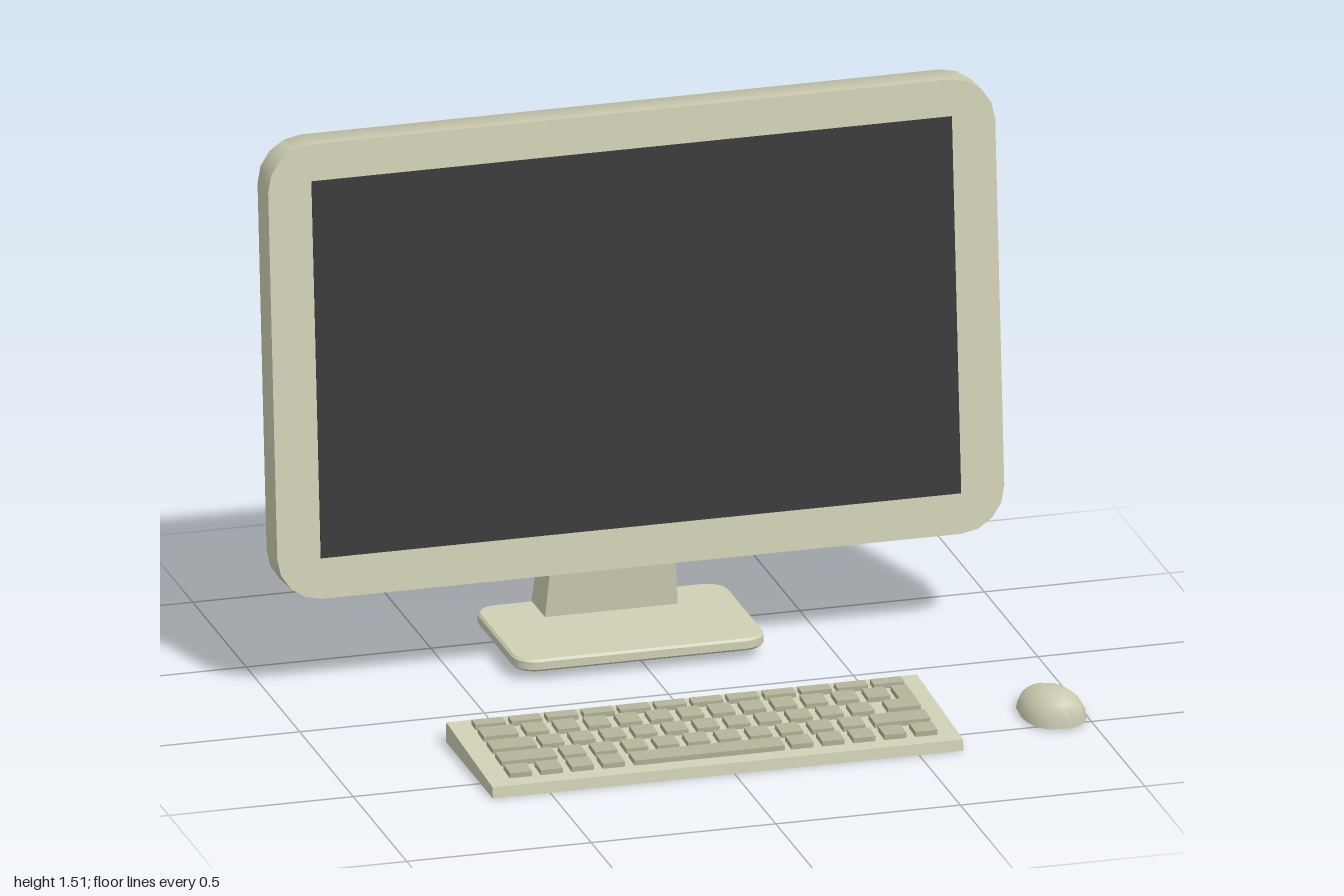
import * as THREE from 'three';
import { toCreasedNormals } from 'three/addons/utils/BufferGeometryUtils.js';

const shell = new THREE.MeshStandardMaterial({ color: 0xd0d0b5 });
const keyMat = new THREE.MeshStandardMaterial({ color: 0xb3b399 });
const dark = new THREE.MeshStandardMaterial({ color: 0x383838 });

// Solid through closed rings (counter-clockwise about the direction of travel), capped at both ends
function loft(rings, crease) {
  const pos = [];
  const tri = (...pts) => pts.forEach((p) => pos.push(...p));
  for (let k = 0; k < rings.length - 1; k++) {
    const a = rings[k], b = rings[k + 1];
    a.forEach((p, i) => {
      const j = (i + 1) % a.length;
      tri(p, a[j], b[j]);
      tri(p, b[j], b[i]);
    });
  }
  const first = rings[0], last = rings[rings.length - 1];
  for (let i = 1; i < first.length - 1; i++) {
    tri(first[0], first[i + 1], first[i]);
    tri(last[0], last[i], last[i + 1]);
  }
  const g = new THREE.BufferGeometry();
  g.setAttribute('position', new THREE.Float32BufferAttribute(pos, 3));
  return toCreasedNormals(g, crease);
}

// Outline of a centred rectangle with rounded corners
function roundedRect(w, h, r, steps) {
  const pts = [];
  for (let c = 0; c < 4; c++) {
    const sx = c === 0 || c === 3 ? 1 : -1, sy = c < 2 ? 1 : -1;
    for (let i = 0; i <= steps; i++) {
      const t = (c + i / steps) * Math.PI / 2;
      pts.push([sx * (w / 2 - r) + r * Math.cos(t), sy * (h / 2 - r) + r * Math.sin(t)]);
    }
  }
  return pts;
}

// Horizontal rectangle with its own height at front and back
const rect = (x0, x1, zBack, zFront, yBack, yFront = yBack) => [
  [x0, yFront, zFront], [x1, yFront, zFront], [x1, yBack, zBack], [x0, yBack, zBack],
];

function add(parent, name, geometry, material) {
  const mesh = new THREE.Mesh(geometry, material);
  mesh.name = name;
  parent.add(mesh);
  return mesh;
}

function group(parent, name) {
  const g = new THREE.Group();
  g.name = name;
  parent.add(g);
  return g;
}

function buildMonitor(parent) {
  const g = group(parent, 'monitor');
  g.position.set(-0.015, 0.285, -0.2);
  g.rotation.x = -0.0855;
  const W = 1.97, H = 1.23;
  // casing, from the bevelled back to the flat front
  const rings = [[-0.176, 0.068], [-0.1, 0], [0, 0]].map(([z, inset]) =>
    roundedRect(W - 2 * inset, H - 2 * inset, 0.12 - inset * 0.6, 4).map(([x, y]) => [x, y + H / 2, z]));
  add(g, 'monitorCasing', loft(rings, 0.78), shell);
  const screen = add(g, 'screen', new THREE.BoxGeometry(1.735, 1.02, 0.004), dark);
  screen.position.set(0, 0.62, 0);
}

function buildStand(parent) {
  const g = group(parent, 'stand');
  // foot plate
  const rings = [[0.027, 0.006], [0.033, 0], [0.054, 0], [0.06, 0.006]].map(([y, inset]) =>
    roundedRect(0.68 - 2 * inset, 0.43 - 2 * inset, 0.06 - inset, 5).map(([x, v]) => [x - 0.015, y, -0.398 - v]));
  add(g, 'standFoot', loft(rings, 0.5), shell);
  // tapering leaning support
  add(g, 'standNeck', loft([
    rect(-0.195, 0.165, -0.613, -0.485, 0.058),
    rect(-0.135, 0.105, -0.442, -0.392, 0.885),
  ], 0.2), shell);
}

function buildKeyboard(parent) {
  const g = group(parent, 'keyboard');
  add(g, 'keyboardTray', loft([
    rect(-0.655, 0.62, 0.175, 0.615, 0),
    rect(-0.655, 0.62, 0.18, 0.612, 0.055, 0.03),
  ], 0.2), shell);

  const slope = Math.atan(0.025 / 0.432);
  const key = (x0, x1, z0, z1, name = 'key') => {
    const m = add(g, name, new THREE.BoxGeometry(x1 - x0, 0.02, z1 - z0), keyMat);
    const z = (z0 + z1) / 2;
    m.position.set((x0 + x1) / 2, 0.059 - (z - 0.18) * Math.tan(slope), z);
    m.rotation.x = slope;
  };
  const run = (n, x, pitch, w, z0, z1) => {
    for (let i = 0; i < n; i++) key(x + i * pitch, x + i * pitch + w, z0, z1);
  };
  const L = -0.595, R = 0.567, P = 0.084, K = 0.06;
  // function row
  run(12, L, 0.0981, 0.083, 0.21, 0.246);
  // number row
  key(L, -0.5, 0.263, 0.325);
  run(12, -0.478, P, K, 0.263, 0.325);
  // upper letter row and L-shaped return key
  key(L, -0.475, 0.347, 0.407);
  run(11, -0.46, P, K, 0.347, 0.407);
  key(0.524, R, 0.263, 0.347, 'returnKey');
  key(0.477, R, 0.347, 0.403, 'returnKey');
  // lower letter row with shift keys
  key(L, -0.443, 0.428, 0.489);
  run(10, -0.425, P, K, 0.428, 0.489);
  key(0.417, R, 0.428, 0.489);
  // bottom row with space bar
  run(4, L, P, K, 0.508, 0.567);
  key(-0.257, 0.15, 0.508, 0.567, 'spaceBar');
  run(5, 0.168, P, K, 0.508, 0.567);
}

function buildMouse(parent) {
  // domed cross-sections from back to front: z, half width, height
  const sections = [
    [0.302, 0.048, 0.038], [0.312, 0.056, 0.044], [0.36, 0.078, 0.061], [0.43, 0.084, 0.074],
    [0.475, 0.08, 0.077], [0.515, 0.064, 0.073], [0.536, 0.043, 0.064], [0.543, 0.026, 0.054],
  ];
  const rings = sections.map(([z, w, h]) => Array.from({ length: 11 }, (_, i) => {
    const t = Math.PI * i / 10;
    return [0.914 + w * Math.cos(t), 0.005 + h * Math.sin(t), z];
  }));
  add(parent, 'mouse', loft(rings, 0.9), shell);
}

export function createModel() {
  const model = new THREE.Group();
  model.name = 'desktopComputer';
  buildMonitor(model);
  buildStand(model);
  buildKeyboard(model);
  buildMouse(model);
  return model;
}
